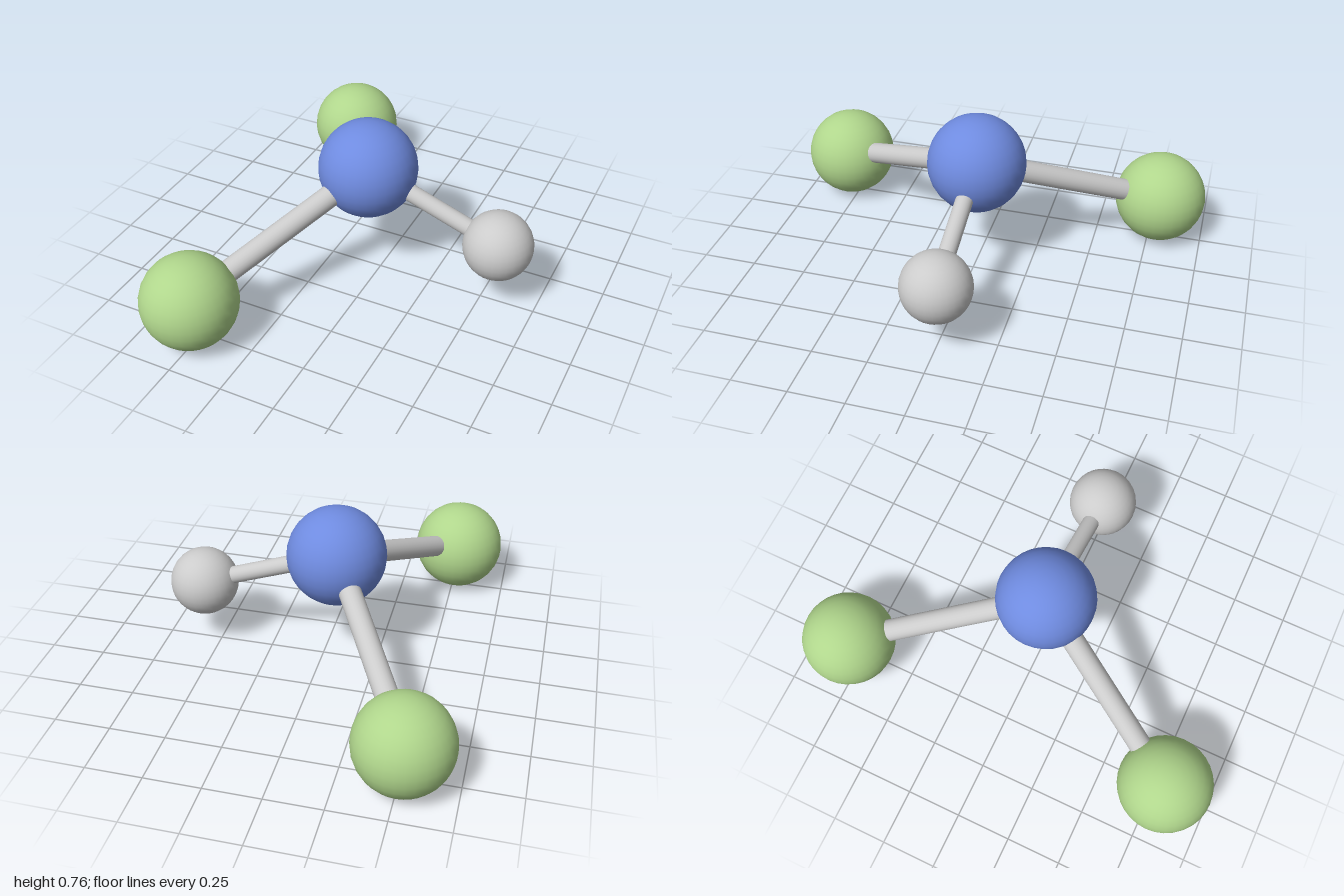
import * as THREE from 'three';

export function createModel() {
  const model = new THREE.Group();
  model.name = 'molecule';
  const grey = new THREE.MeshStandardMaterial({ color: 0xcccccc });
  const blue = new THREE.MeshStandardMaterial({ color: 0x6f8be0 });
  const green = new THREE.MeshStandardMaterial({ color: 0xb0d68c });

  const centre = new THREE.Vector3(-0.06, 0.54, 0);

  const addAtom = (name, position, radius, material) => {
    const atom = new THREE.Mesh(new THREE.SphereGeometry(radius, 32, 16), material);
    atom.name = name;
    atom.position.copy(position);
    model.add(atom);
  };

  // Rod running from the central atom to an outer one
  const addBond = (name, end, radius) => {
    const span = end.clone().sub(centre);
    const bond = new THREE.Mesh(new THREE.CylinderGeometry(radius, radius, span.length(), 24), grey);
    bond.name = name;
    bond.position.copy(centre).addScaledVector(span, 0.5);
    bond.quaternion.setFromUnitVectors(new THREE.Vector3(0, 1, 0), span.normalize());
    model.add(bond);
  };

  addAtom('centralAtom', centre, 0.222, blue);

  // Small grey atom on the left
  const small = new THREE.Vector3(0.565, 0.315, 0);
  addAtom('smallAtom', small, 0.156, grey);
  addBond('smallBond', small, 0.039);

  // Mirrored pair of green atoms, front and back
  for (const [side, sign] of [['front', 1], ['back', -1]]) {
    const position = new THREE.Vector3(-0.515, 0.214, sign * 0.788);
    addAtom(side + 'Atom', position, 0.212, green);
    addBond(side + 'Bond', position, 0.05);
  }

  return model;
}
